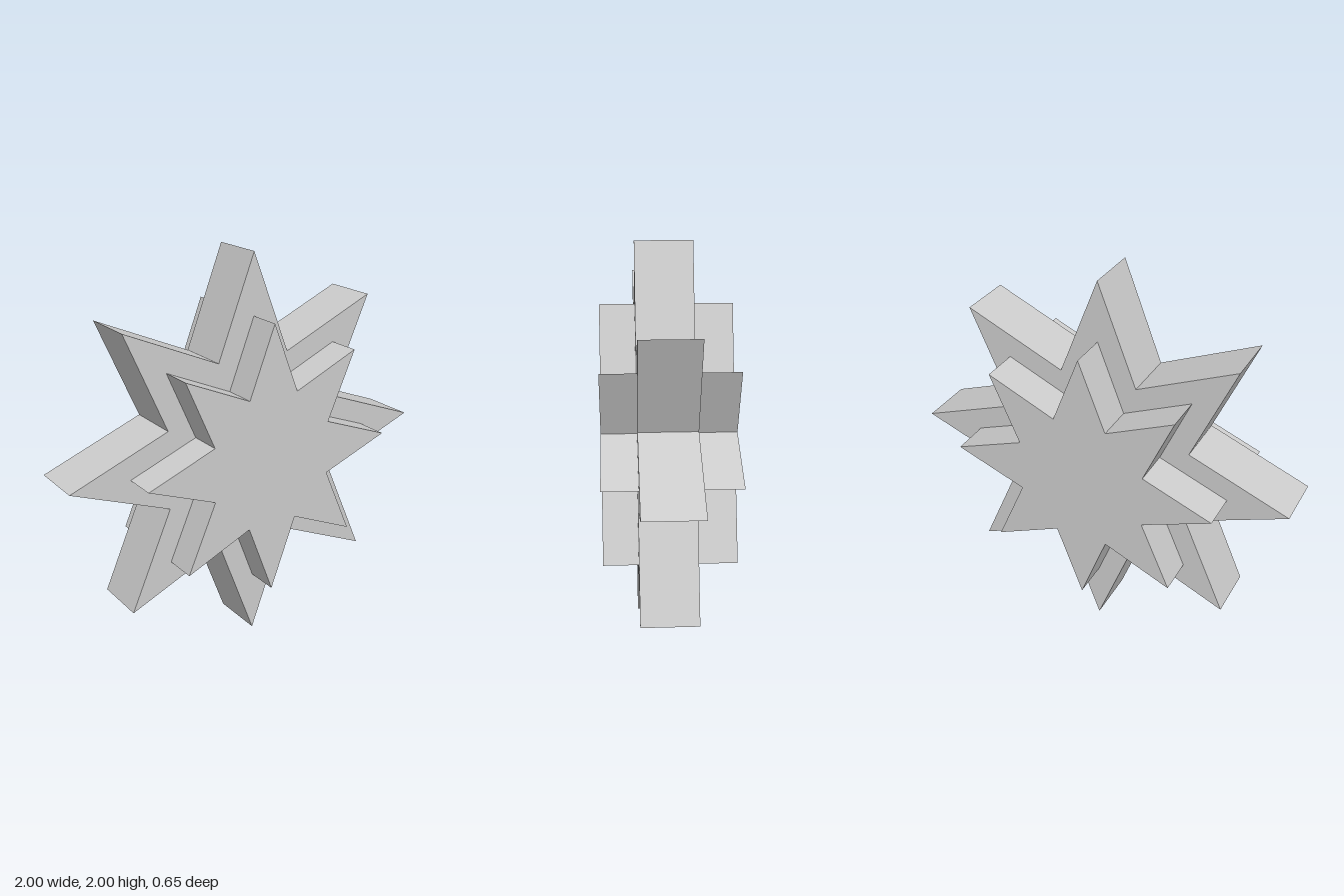
import * as THREE from 'three';

const CENTER_X = -0.005, CENTER_Y = 1.01;
// tip reach, counter-clockwise from the right-hand tip
const TIPS = [1.005, 0.99, 0.99, 0.99, 0.995, 0.99, 1.01, 0.99];
const VALLEY = 0.52;

// eight-pointed star slab between two depths
function starSlab(name, scale, zBack, zFront, material) {
  const points = [];
  TIPS.forEach((tip, i) => {
    const a = (i * Math.PI) / 4;
    for (const [r, t] of [[tip, a], [VALLEY, a + Math.PI / 8]]) {
      points.push(new THREE.Vector2(Math.cos(t) * r * scale, Math.sin(t) * r * scale));
    }
  });
  const geometry = new THREE.ExtrudeGeometry(new THREE.Shape(points), {
    depth: zFront - zBack, bevelEnabled: false,
  });
  const mesh = new THREE.Mesh(geometry, material);
  mesh.name = name;
  mesh.position.set(CENTER_X, CENTER_Y, zBack);
  return mesh;
}

export function createModel() {
  const group = new THREE.Group();
  group.name = 'layeredStar';
  const material = new THREE.MeshStandardMaterial({ color: 0xcccccc, flatShading: true });

  // wide middle star, and a smaller star running through it to both faces
  group.add(starSlab('outerStar', 1, -0.13, 0.153, material));
  group.add(starSlab('innerStar', 0.69, -0.325, 0.325, material));
  return group;
}
